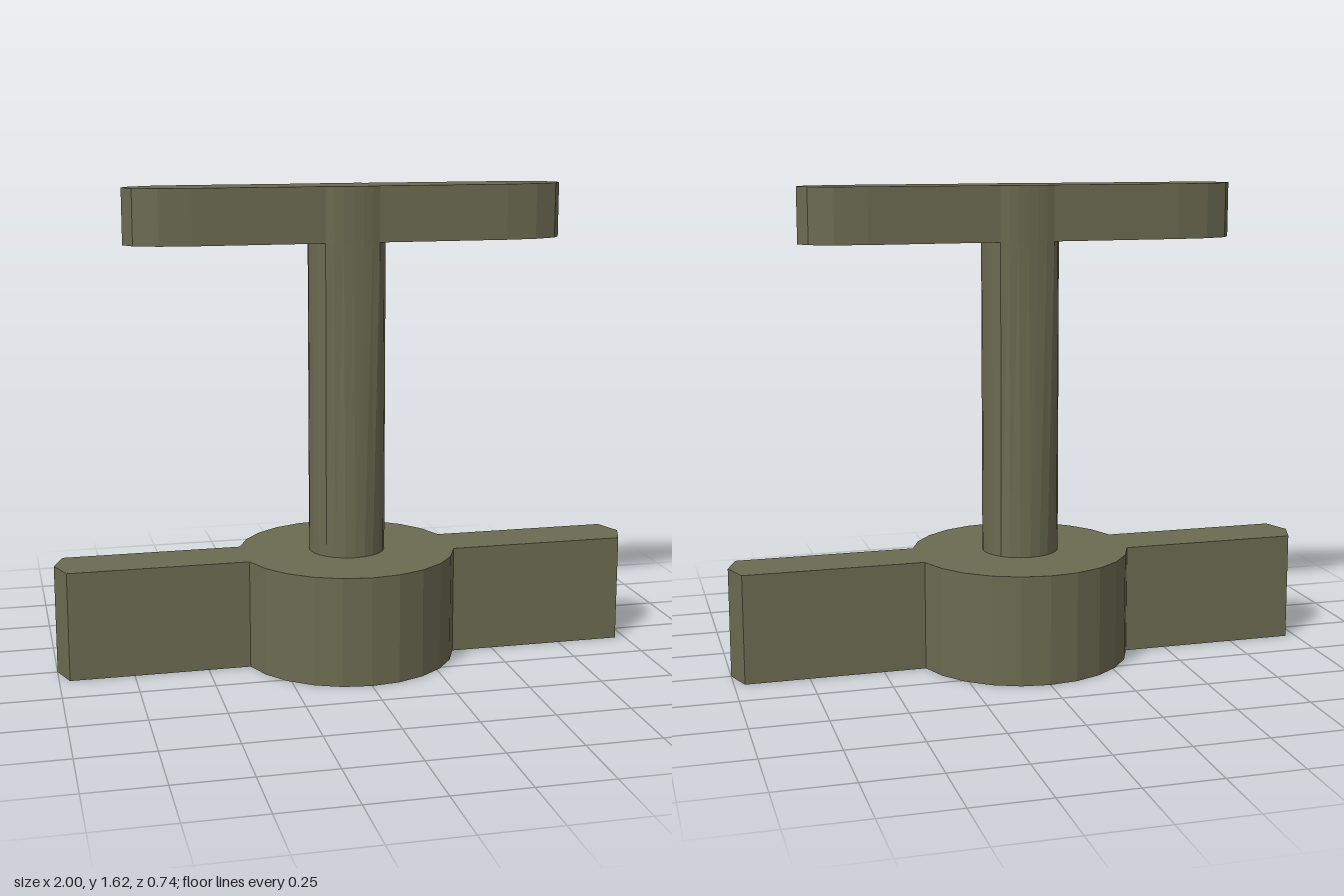
import * as THREE from 'three';

const HUB_R = 0.37, HUB_H = 0.37;
const STEM_R = 0.13, HANDLE_BOTTOM = 1.43, HANDLE_TOP = 1.615;
const FLAT = STEM_R * Math.SQRT1_2; // half depth of the handle

// Squeezes the part of the stem's section that stands proud of the handle
const squeeze = (z) => Math.abs(z) <= FLAT ? z : Math.sign(z) * (FLAT + (Math.abs(z) - FLAT) * 0.41);

// Upright prism from a plan outline, standing from y0 to y1
function prism(points, y0, y1) {
  const shape = new THREE.Shape(points.map(([x, z]) => new THREE.Vector2(x, z)));
  const geometry = new THREE.ExtrudeGeometry(shape, { depth: y1 - y0, bevelEnabled: false });
  return geometry.rotateX(-Math.PI / 2).translate(0, y0, 0);
}

export function createModel() {
  const group = new THREE.Group();
  const olive = new THREE.MeshStandardMaterial({ color: 0x6b6a50, flatShading: true });
  olive.name = 'olive';
  const add = (name, geometry) => {
    const mesh = new THREE.Mesh(geometry, olive);
    mesh.name = name;
    group.add(mesh);
  };

  // Round hub and two wings with pointed ends, in one outline
  const base = [];
  const step = Math.PI / 12;
  const wing = HUB_R * Math.sin(step);
  for (const s of [1, -1]) {
    base.push([s * 0.965, -s * wing], [s, 0], [s * 0.965, s * wing]);
    for (let i = 1; i <= 11; i++) {
      base.push([s * HUB_R * Math.cos(i * step), s * HUB_R * Math.sin(i * step)]);
    }
  }
  add('hubWithWings', prism(base, 0, HUB_H));

  // Stem, round at the foot and flattened toward the handle
  const stem = new THREE.CylinderGeometry(STEM_R, STEM_R, HANDLE_BOTTOM - HUB_H, 24, 1);
  stem.translate(0, (HANDLE_BOTTOM + HUB_H) / 2, 0);
  const p = stem.attributes.position;
  for (let i = 0; i < p.count; i++) {
    if (p.getY(i) > 1) p.setZ(i, squeeze(p.getZ(i)));
  }
  stem.computeVertexNormals();
  add('stem', stem);

  // Crossbar handle with elliptical ends and a slight swell over the stem
  const bar = [];
  for (const s of [1, -1]) {
    for (let i = -3; i <= 3; i++) {
      const a = i * Math.PI / 6;
      bar.push([s * (0.53 + 0.215 * Math.cos(a)), s * FLAT * Math.sin(a)]);
    }
    for (let i = 3; i <= 9; i++) {
      bar.push([s * STEM_R * Math.cos(i * step), s * squeeze(STEM_R * Math.sin(i * step))]);
    }
  }
  add('handle', prism(bar, HANDLE_BOTTOM, HANDLE_TOP));

  return group;
}
